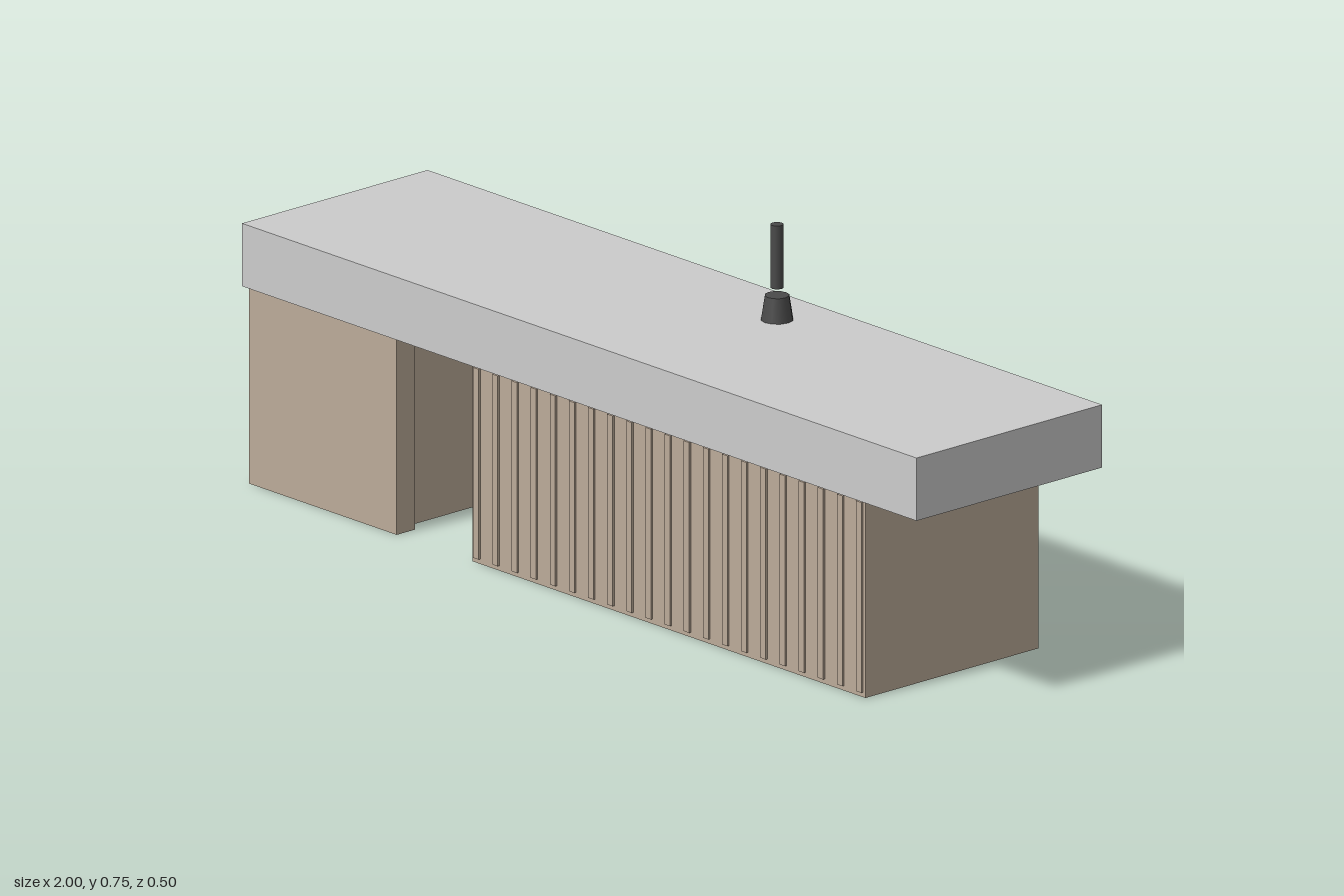
import * as THREE from 'three';

export function createModel() {
  const group = new THREE.Group();
  const grey = new THREE.MeshStandardMaterial({ color: 0xcccccc });
  const wood = new THREE.MeshStandardMaterial({ color: 0xbcab99 });
  const dark = new THREE.MeshStandardMaterial({ color: 0x4a4a4a });

  const add = (name, geometry, material, x, y, z) => {
    const mesh = new THREE.Mesh(geometry, material);
    mesh.name = name;
    mesh.position.set(x, y, z);
    group.add(mesh);
  };
  // Box given by its lower and upper limits on each axis
  const box = (name, material, [x0, x1], [y0, y1], [z0, z1]) =>
    add(name, new THREE.BoxGeometry(x1 - x0, y1 - y0, z1 - z0), material,
      (x0 + x1) / 2, (y0 + y1) / 2, (z0 + z1) / 2);

  // Counter slab and the two supporting blocks
  box('countertop', grey, [-1, 1], [0.418, 0.55], [-0.25, 0.25]);
  box('mainCabinet', wood, [-0.335, 0.83], [0, 0.418], [-0.233, 0.233]);
  box('sideCabinet', wood, [-0.998, -0.587], [0, 0.418], [-0.233, 0.233]);

  // Thin vertical slats on the front and back of the main cabinet
  const slats = 21, halfWidth = 0.008;
  for (const side of [-1, 1]) {
    for (let i = 0; i < slats; i++) {
      const x = -0.32 + (1.135 * i) / (slats - 1);
      add('slat', new THREE.BoxGeometry(halfWidth * 2, 0.4, 0.01), wood, x, 0.21, side * 0.2325);
    }
    // Corner posts on the inner end of the side cabinet
    add('cornerPost', new THREE.BoxGeometry(0.027, 0.418, 0.05), wood, -0.5735, 0.209, side * 0.208);
  }

  // Tapered foot with the rod floating above it
  add('rodBase', new THREE.CylinderGeometry(0.025, 0.033, 0.051, 12), dark, 0.165, 0.5755, -0.133);
  add('rod', new THREE.CylinderGeometry(0.0133, 0.0133, 0.133, 12), dark, 0.165, 0.6835, -0.133);

  return group;
}
